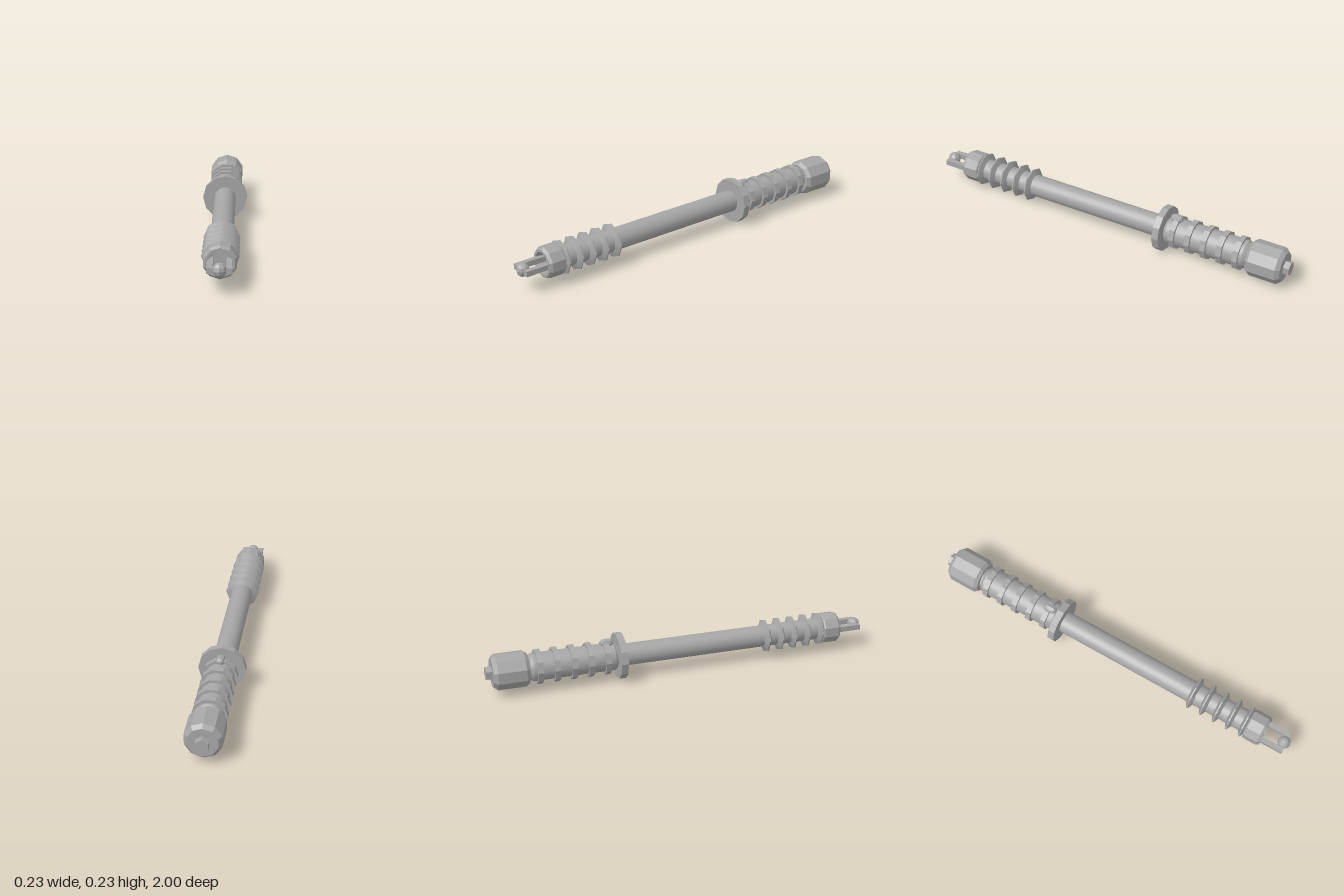
import * as THREE from 'three';
import { toCreasedNormals } from 'three/addons/utils/BufferGeometryUtils.js';

const AXIS_Y = 0.118;
const CREASE = 0.45; // sides meeting more sharply than this stay faceted

export function createModel() {
  const model = new THREE.Group();
  model.name = 'hilt';
  const metal = new THREE.MeshStandardMaterial({ color: 0xa6a6a6 });
  metal.name = 'grey metal';

  const add = (name, geometry, x = 0, y = 0, z = 0) => {
    const mesh = new THREE.Mesh(toCreasedNormals(geometry, CREASE), metal);
    mesh.name = name;
    mesh.position.set(x, AXIS_Y + y, z);
    model.add(mesh);
    return mesh;
  };

  // Turned part along z; profile is [radius, z] from back to front
  const turned = (name, sides, profile, z = 0, phase = 0) => {
    const points = profile.map(([r, h]) => new THREE.Vector2(r, h));
    const geometry = new THREE.LatheGeometry(points, sides, phase);
    geometry.rotateX(Math.PI / 2);
    return add(name, geometry, 0, 0, z);
  };

  // Long smooth shaft running under every other part
  turned('shaft', 20, [[0, -0.8], [0.056, -0.8], [0.056, 0.79], [0, 0.79]]);

  // Sharp cooling fins
  for (let i = 0; i < 5; i++) {
    turned('fin', 8, [[0.054, -0.019], [0.088, -0.003], [0.088, 0.003], [0.054, 0.019]],
      0.46 + i * 0.074);
  }

  // Hollow emitter nut
  turned('emitter', 10, [
    [0, 0.77], [0.076, 0.77], [0.08, 0.776], [0.08, 0.848],
    [0.07, 0.862], [0.057, 0.862], [0.048, 0.82], [0, 0.82],
  ]);

  // Two prongs holding the ball at the tip
  for (const side of [1, -1]) {
    add(side > 0 ? 'leftProng' : 'rightProng',
      new THREE.BoxGeometry(0.027, 0.027, 0.165), side * 0.0435, 0, 0.8975);
  }
  add('tipBall', new THREE.SphereGeometry(0.034, 8, 6), 0, 0, 0.966);

  // Flat guard disc
  turned('guard', 12, [[0, -0.34], [0.117, -0.34], [0.117, -0.305], [0, -0.305]]);

  // Grip with raised rings
  turned('grip', 20, [
    [0, -0.783], [0.06, -0.783], [0.071, -0.768],
    [0.071, -0.355], [0.064, -0.345], [0, -0.345],
  ]);
  for (let i = 0; i < 5; i++) {
    turned('gripRing', 10, [[0.068, -0.014], [0.087, -0.014], [0.087, 0.014], [0.068, 0.014]],
      -0.395 - i * 0.086, Math.PI / 2);
  }

  // Rounded switch on top of the grip
  const button = new THREE.CapsuleGeometry(0.022, 0.024, 3, 8);
  button.rotateX(Math.PI / 2);
  add('switchButton', button, 0, 0.078, -0.387);

  // Chamfered pommel and its end knob
  turned('pommel', 10, [
    [0, -0.97], [0.075, -0.97], [0.092, -0.95],
    [0.092, -0.808], [0.078, -0.79], [0, -0.79],
  ]);
  turned('endKnob', 6, [[0, -1], [0.035, -1], [0.035, -0.965], [0, -0.965]]);

  return model;
}
